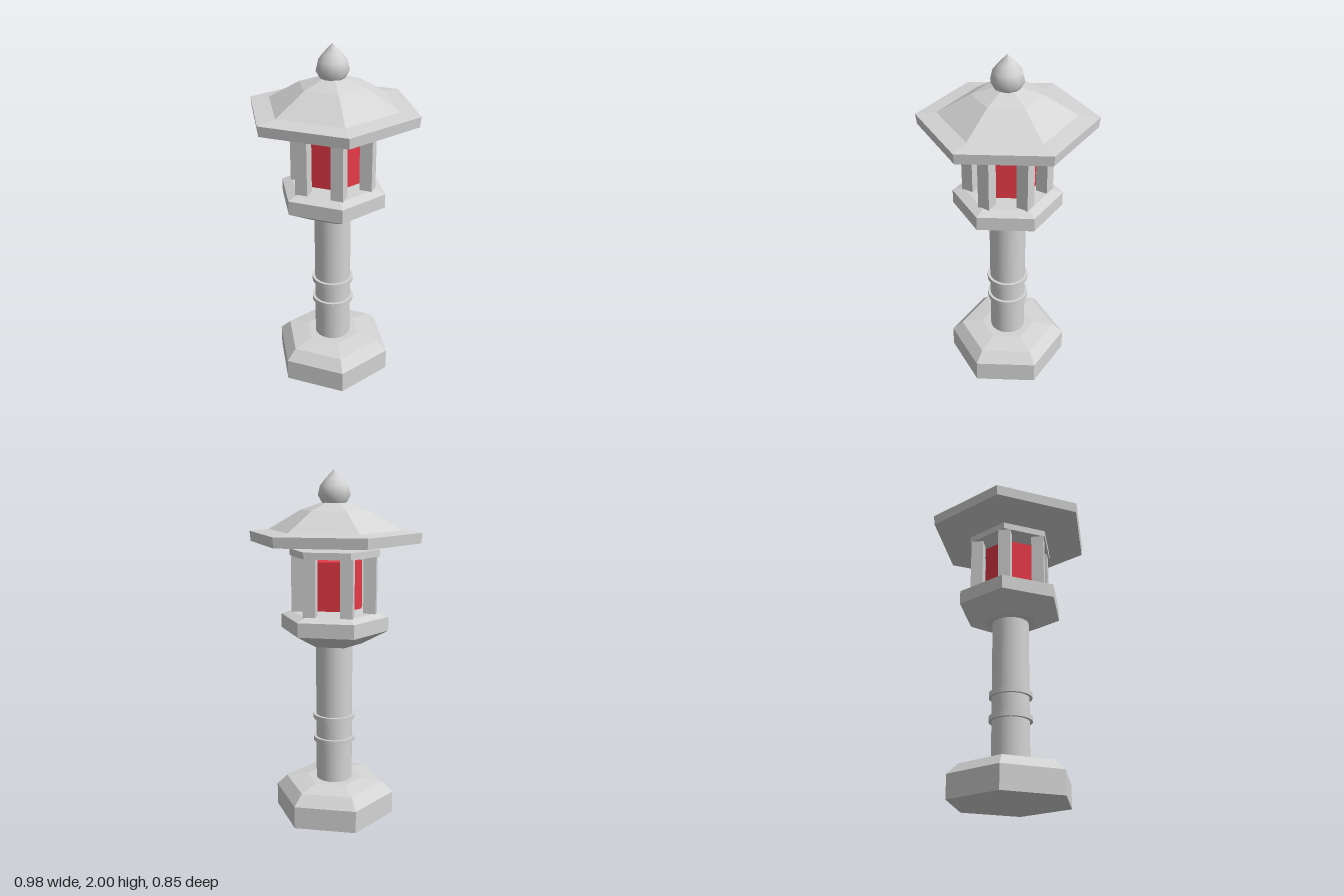
import * as THREE from 'three';

const stone = new THREE.MeshStandardMaterial({ color: 0xd4d4d4 });
stone.name = 'stone';
const redLight = new THREE.MeshStandardMaterial({ color: 0xe63946 });
redLight.name = 'redLight';

// Turned solid from [radius, height] pairs listed bottom to top
function turned(profile, sides, phase) {
  const points = profile.map(([r, y]) => new THREE.Vector2(r, y));
  return new THREE.LatheGeometry(points, sides, phase);
}

// Faceted six-sided solid with corners on the x axis
function hexSolid(profile) {
  const geometry = turned(profile, 6, Math.PI / 6).toNonIndexed();
  geometry.computeVertexNormals();
  return geometry;
}

export function createModel() {
  const model = new THREE.Group();
  model.name = 'stoneLantern';

  const add = (name, geometry, material, x = 0, y = 0, z = 0) => {
    const mesh = new THREE.Mesh(geometry, material);
    mesh.name = name;
    mesh.position.set(x, y, z);
    model.add(mesh);
    return mesh;
  };

  // Stepped foot
  add('base', hexSolid([[0, 0], [0.352, 0], [0.352, 0.13], [0.29, 0.19], [0.165, 0.21], [0, 0.21]]), stone);

  // Round column with two bands
  add('column', new THREE.CylinderGeometry(0.105, 0.105, 0.84, 32), stone, 0, 0.62, 0);
  for (const y of [0.457, 0.593]) {
    add('columnBand', new THREE.CylinderGeometry(0.121, 0.121, 0.027, 32), stone, 0, y, 0);
  }

  // Flared platform under the lamp chamber
  add('platform', hexSolid([[0, 1.03], [0.16, 1.03], [0.31, 1.11], [0.31, 1.19], [0.25, 1.21], [0, 1.21]]), stone);

  // Square posts, one at each corner
  for (let i = 0; i < 6; i++) {
    const a = (i * Math.PI) / 3;
    add('post', new THREE.BoxGeometry(0.07, 0.325, 0.07), stone, 0.206 * Math.cos(a), 1.3675, 0.206 * Math.sin(a));
  }

  // Glowing core
  add('lampCore', hexSolid([[0, 1.233], [0.158, 1.233], [0.158, 1.505], [0, 1.505]]), redLight);

  // Slab across the post tops
  add('topSlab', hexSolid([[0, 1.527], [0.257, 1.527], [0.257, 1.565], [0, 1.565]]), stone);

  // Wide roof, steepening above the eaves
  add('roof', hexSolid([
    [0, 1.603], [0.482, 1.603], [0.488, 1.66], [0.375, 1.672], [0.19, 1.78], [0.07, 1.82], [0, 1.82],
  ]), stone);

  // Pointed bud on the roof
  add('finial', turned([
    [0.066, 1.815], [0.092, 1.86], [0.08, 1.91], [0.05, 1.948], [0, 2],
  ], 10, Math.PI / 2), stone);

  return model;
}
